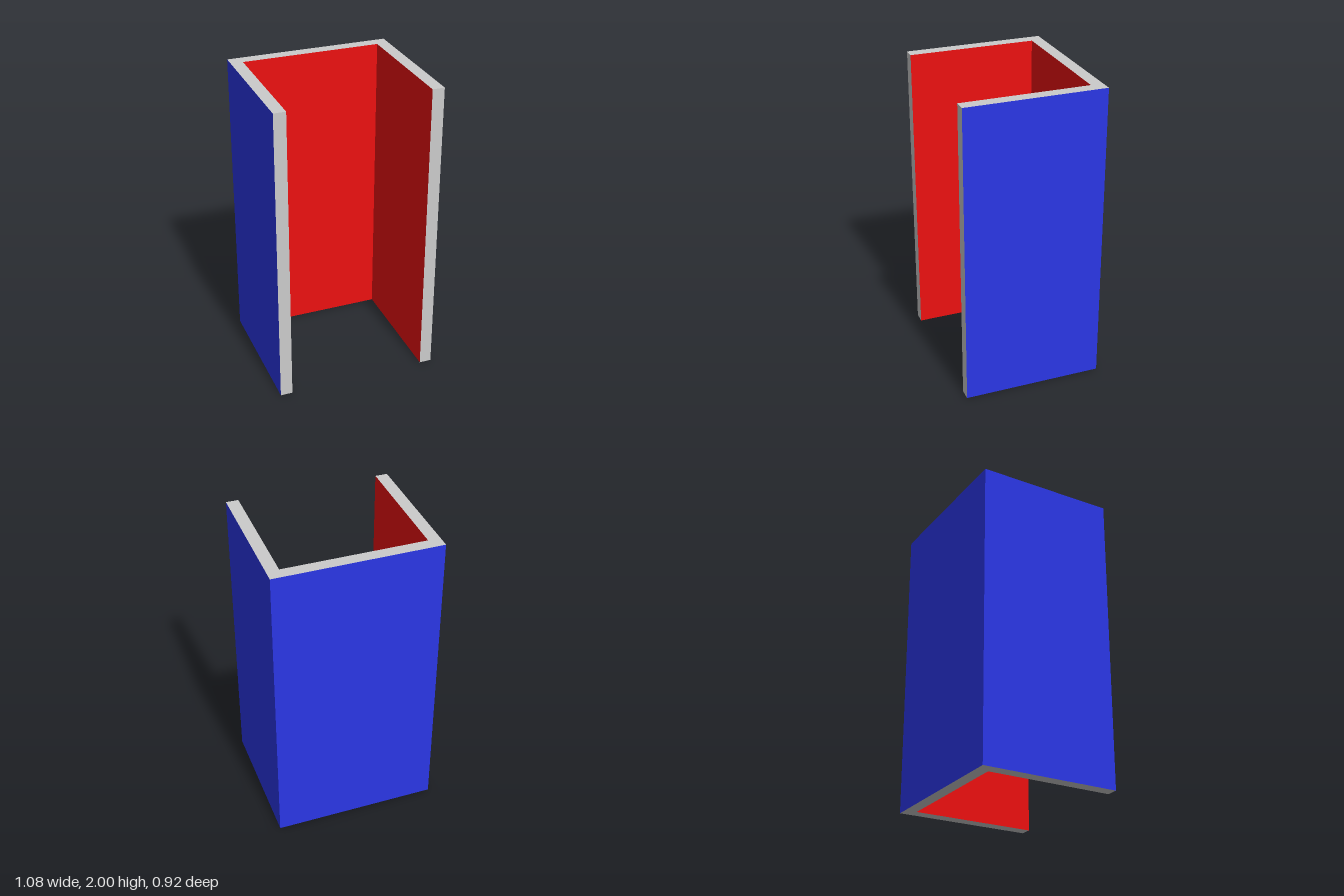
import * as THREE from 'three';

const H = 2;              // height
const W = 0.54, D = 0.46; // outer half width and half depth
const T = 0.08;           // wall thickness
const w = W - T, back = -D + T;

// U-shaped plan as [x, z]: outside, then inside
const outer = [[W, D], [W, -D], [-W, -D], [-W, D]];
const inner = [[-w, D], [-w, back], [w, back], [w, D]];

const mat = (color) => new THREE.MeshStandardMaterial({ color, flatShading: true, side: THREE.DoubleSide });

// Upright wall surface following a path in plan
function wall(path) {
  const pos = [];
  for (let i = 0; i < path.length - 1; i++) {
    const [ax, az] = path[i], [bx, bz] = path[i + 1];
    pos.push(ax, 0, az, bx, 0, bz, bx, H, bz, ax, 0, az, bx, H, bz, ax, H, az);
  }
  const g = new THREE.BufferGeometry();
  g.setAttribute('position', new THREE.Float32BufferAttribute(pos, 3));
  g.computeVertexNormals();
  return g;
}

// Flat rim of the plan, facing up (dir = 1) or down (dir = -1)
function rim(dir) {
  const pts = [...outer, ...inner].map(([x, z]) => new THREE.Vector2(x, -dir * z));
  const g = new THREE.ShapeGeometry(new THREE.Shape(pts));
  g.rotateX(-dir * Math.PI / 2);
  return g.translate(0, dir > 0 ? H : 0, 0);
}

export function createModel() {
  const group = new THREE.Group();
  group.name = 'channel';
  const grey = mat(0xcccccc);
  const add = (name, geometry, material) => {
    const mesh = new THREE.Mesh(geometry, material);
    mesh.name = name;
    group.add(mesh);
  };

  // Coloured faces
  add('outerFaces', wall(outer), mat(0x2b36e6));
  add('innerFaces', wall(inner), mat(0xec1010));

  // Bare cut edges
  add('rightFrontEdge', wall([outer[3], inner[0]]), grey);
  add('leftFrontEdge', wall([inner[3], outer[0]]), grey);
  add('topRim', rim(1), grey);
  add('bottomRim', rim(-1), grey);
  return group;
}
